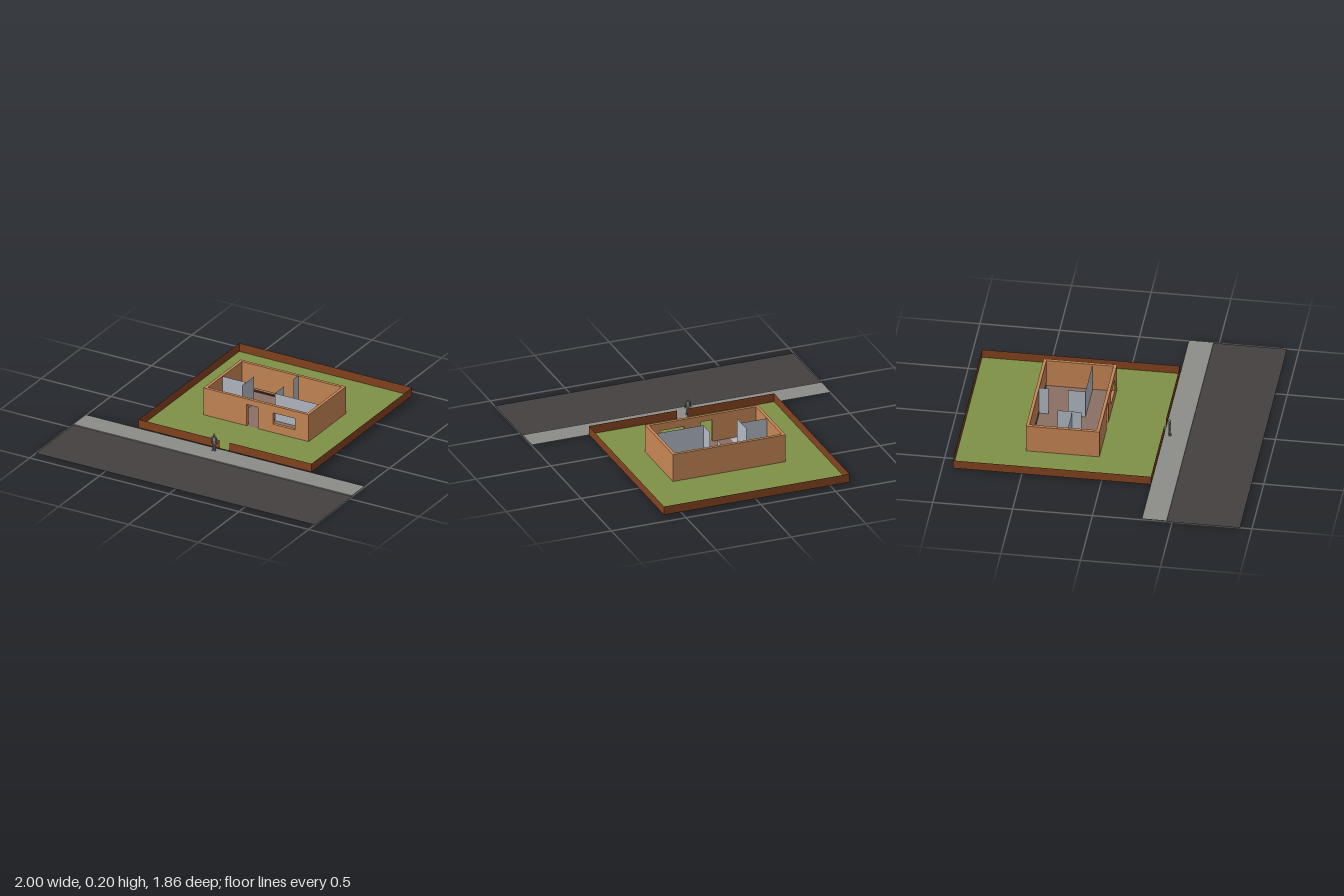
import * as THREE from 'three';

const mat = (name, color, side = THREE.DoubleSide) => {
  const m = new THREE.MeshStandardMaterial({ color, side });
  m.name = name;
  return m;
};

export function createModel() {
  const root = new THREE.Group();
  root.name = 'houseOnPlot';
  const M = {
    asphalt: mat('asphalt', 0x454040),
    paving: mat('paving', 0x8c8d88),
    grass: mat('grass', 0x7f9146),
    brick: mat('fence brick', 0x84421f),
    clay: mat('house clay', 0xc68655),
    floor: mat('brown floor', 0x8a6f64),
    pale: mat('pale plaster', 0xb2b9c4),
    figure: mat('figure grey', 0x858585),
  };
  const add = (name, geo, material, parent = root) => {
    const mesh = new THREE.Mesh(geo, material);
    mesh.name = name;
    parent.add(mesh);
    return mesh;
  };
  const G = 0.01; // ground level

  // Horizontal sheet, with an optional rectangular hole
  const rect = (T, x0, z0, x1, z1) => {
    const s = new T();
    s.moveTo(x0, -z0).lineTo(x1, -z0).lineTo(x1, -z1).lineTo(x0, -z1).closePath();
    return s;
  };
  const sheet = (name, x0, x1, z0, z1, y, material, hole) => {
    const s = rect(THREE.Shape, x0, z1, x1, z0);
    if (hole) s.holes.push(rect(THREE.Path, ...hole));
    return add(name, new THREE.ShapeGeometry(s).rotateX(-Math.PI / 2).translate(0, y, 0), material);
  };
  // Upright sheets along x and along z
  const sheetX = (name, x0, x1, z, y0, y1, material) =>
    add(name, new THREE.PlaneGeometry(x1 - x0, y1 - y0)
      .translate((x0 + x1) / 2, (y0 + y1) / 2, z), material);
  const sheetZ = (name, z0, z1, x, y0, y1, material) =>
    add(name, new THREE.PlaneGeometry(z1 - z0, y1 - y0).rotateY(Math.PI / 2)
      .translate(x, (y0 + y1) / 2, (z0 + z1) / 2), material);
  const box = (name, x0, x1, y0, y1, z0, z1, material) =>
    add(name, new THREE.BoxGeometry(x1 - x0, y1 - y0, z1 - z0)
      .translate((x0 + x1) / 2, (y0 + y1) / 2, (z0 + z1) / 2), material);

  // Street
  sheet('road', -1, 1, 0.465, 0.925, 0, M.asphalt);
  sheet('sidewalk', -1, 1, 0.31, 0.465, 0.006, M.paving);
  sheetX('kerb', -1, 1, 0.465, 0, 0.006, M.paving);

  // House outline and wall thickness
  const X0 = -0.365, X1 = 0.39, Z0 = -0.51, Z1 = -0.05, T = 0.02, H = 0.195;
  sheet('lawn', -0.62, 0.62, -0.93, 0.31, G, M.grass, [X0, Z0, X1, Z1]);

  // Thin boundary fence with a gate gap
  const fenceTop = 0.067;
  for (const x of [-0.62, 0.62]) sheetZ('sideFence', -0.93, 0.31, x, G, fenceTop, M.brick);
  sheetX('backFence', -0.62, 0.62, -0.93, G, fenceTop, M.brick);
  sheetX('frontFence', -0.62, -0.04, 0.31, G, fenceTop, M.brick);
  sheetX('frontFence', 0.03, 0.62, 0.31, G, fenceTop, M.brick);

  // Front wall with door and window openings
  const front = new THREE.Shape();
  const door = [-0.055, 0.025, 0.157];
  front.moveTo(X0, G).lineTo(door[0], G).lineTo(door[0], door[2]).lineTo(door[1], door[2])
    .lineTo(door[1], G).lineTo(X1, G).lineTo(X1, H).lineTo(X0, H).closePath();
  front.holes.push(rect(THREE.Path, 0.133, -0.067, 0.293, -0.145));
  add('frontWall', new THREE.ExtrudeGeometry(front, { depth: T, bevelEnabled: false })
    .translate(0, 0, Z1 - T), M.clay);
  sheet('doorSill', door[0], door[1], Z1 - T, Z1, G, M.floor);

  // Side walls, and a back wall with a low recess on its inner face
  box('sideWall', X0, X0 + T, G, H, Z0, Z1 - T, M.clay);
  box('sideWall', X1 - T, X1, G, H, Z0, Z1 - T, M.clay);
  box('backWall', X0 + T, X1 - T, G + 0.022, H, Z0, Z0 + T, M.clay);
  box('backWallFoot', X0 + T, -0.3, G, G + 0.022, Z0, Z0 + T, M.clay);
  sheetX('backWallSkin', -0.3, X1 - T, Z0, G, G + 0.022, M.clay);

  // Floors
  const ix0 = X0 + T, ix1 = X1 - T, iz0 = Z0 + T, iz1 = Z1 - T;
  sheet('bathFloor', ix0, -0.17, -0.25, iz1, G, M.pale);
  sheet('bedroomFloor', ix0, -0.17, iz0, -0.25, G, M.floor);
  sheet('mainFloor', -0.17, ix1, iz0, iz1, G, M.floor);

  // Thin interior partitions
  const P = 0.199;
  sheetX('livingPartition', 0.06, ix1, -0.2, G, P, M.pale);
  sheetX('bathPartition', ix0, -0.17, -0.25, G, 0.195, M.pale);
  sheetZ('hallPartition', -0.34, -0.19, -0.17, G, P, M.pale);
  sheetZ('bedroomPartition', iz0, -0.43, 0.06, G, P, M.pale);
  sheetZ('bedroomPartition', -0.31, -0.2, 0.06, G, P, M.pale);

  // Standing person by the gate
  const person = new THREE.Group();
  person.name = 'person';
  person.position.set(-0.058, 0.007, 0.345);
  root.add(person);
  const limb = (name, r0, r1, h, x, y, tilt = 0) => {
    const m = add(name, new THREE.CylinderGeometry(r0, r1, h, 8), M.figure, person);
    m.position.set(x, y, 0);
    m.rotation.z = tilt;
    return m;
  };
  add('head', new THREE.SphereGeometry(0.0085, 10, 8).scale(0.85, 1.1, 0.95), M.figure, person)
    .position.y = 0.106;
  limb('neck', 0.004, 0.004, 0.01, 0, 0.095);
  limb('torso', 0.014, 0.01, 0.042, 0, 0.072).scale.z = 0.6;
  for (const s of [-1, 1]) {
    limb('leg', 0.007, 0.0045, 0.052, s * 0.006, 0.028, s * 0.06);
    limb('arm', 0.0045, 0.0035, 0.043, s * 0.0165, 0.068, s * 0.12);
    add('foot', new THREE.BoxGeometry(0.007, 0.005, 0.016), M.figure, person)
      .position.set(s * 0.008, 0.0025, 0.003);
  }
  return root;
}
